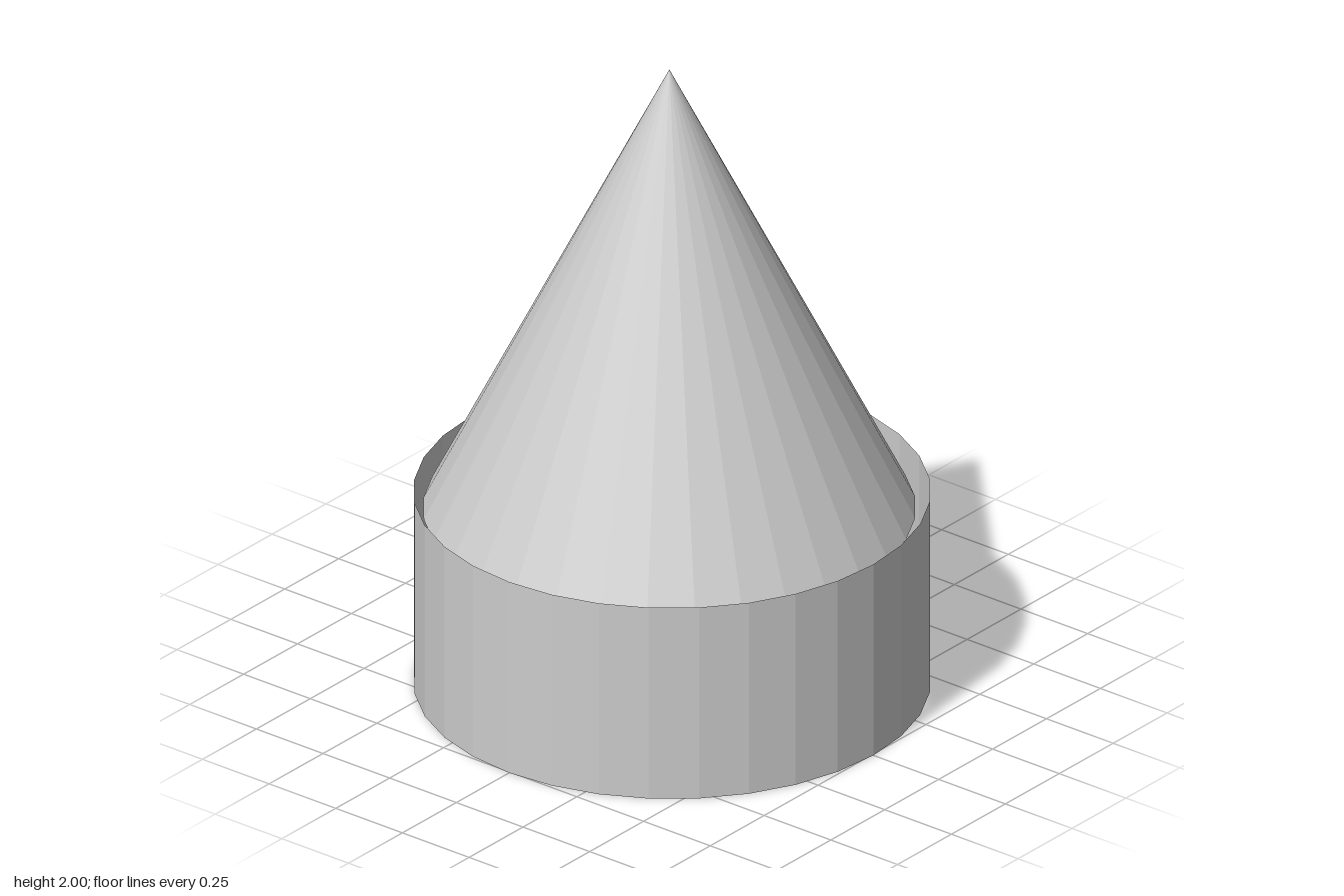
import * as THREE from 'three';

const SIDES = 32;

// Open, faceted shell of revolution standing between two heights
function shell(name, topRadius, bottomRadius, bottom, top, x = 0) {
  const height = top - bottom;
  const geometry = new THREE.CylinderGeometry(topRadius, bottomRadius, height, SIDES, 1, true);
  const material = new THREE.MeshStandardMaterial({
    color: 0xcccccc, flatShading: true, side: THREE.DoubleSide,
  });
  const mesh = new THREE.Mesh(geometry, material);
  mesh.name = name;
  mesh.position.set(x, bottom + height / 2, 0);
  return mesh;
}

export function createModel() {
  const model = new THREE.Group();
  model.name = 'coneRoofedTower';

  // Round wall, open at both ends
  model.add(shell('wall', 0.755, 0.755, 0, 0.625));

  // Hollow cone, slightly narrower, its rim sunk just below the top of the wall
  model.add(shell('coneRoof', 0, 0.72, 0.565, 2, -0.01));

  return model;
}
